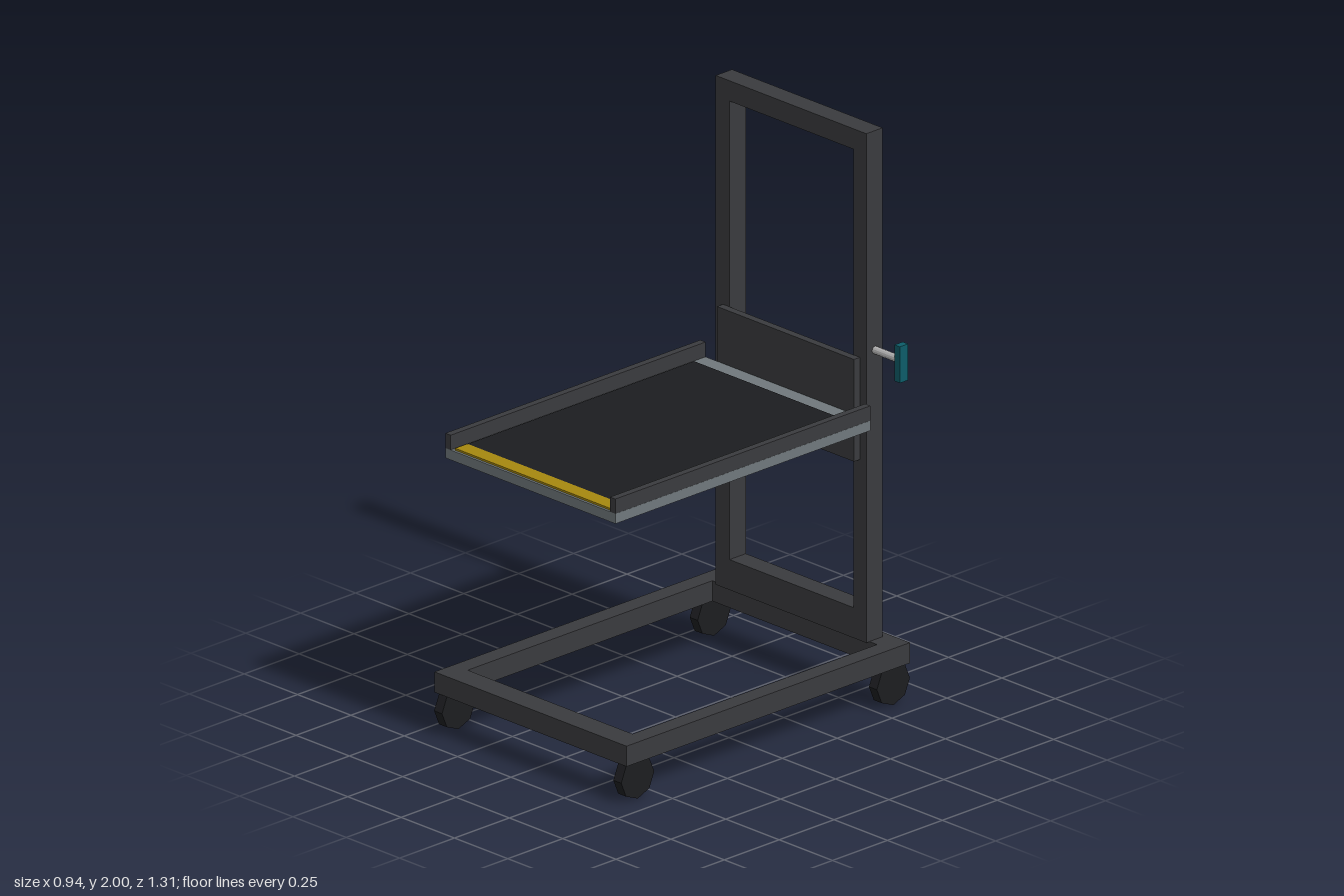
import * as THREE from 'three';

const mat = (color) => new THREE.MeshStandardMaterial({ color, flatShading: true });
const CX = -0.017; // centre line of the cart

export function createModel() {
  const group = new THREE.Group();
  const steel = mat(0x3a3b3e), trayGrey = mat(0x70787c), rubber = mat(0x1c1d20);
  const yellow = mat(0xa5870f), teal = mat(0x0d5c68), silver = mat(0xb0b0b0);

  const add = (name, geometry, material) => {
    const mesh = new THREE.Mesh(geometry, material);
    mesh.name = name;
    group.add(mesh);
    return mesh;
  };
  // box given by its minimum and maximum corners
  const box = (name, material, x0, x1, y0, y1, z0, z1) => {
    const mesh = add(name, new THREE.BoxGeometry(x1 - x0, y1 - y0, z1 - z0), material);
    mesh.position.set((x0 + x1) / 2, (y0 + y1) / 2, (z0 + z1) / 2);
    return mesh;
  };
  // rectangular frame with one rectangular opening
  const rectangle = (P, x0, x1, y0, y1) => {
    const p = new P();
    p.moveTo(x0, y0).lineTo(x1, y0).lineTo(x1, y1).lineTo(x0, y1).closePath();
    return p;
  };
  const frame = (name, outer, inner, depth) => {
    const shape = rectangle(THREE.Shape, ...outer);
    shape.holes.push(rectangle(THREE.Path, ...inner));
    return add(name, new THREE.ExtrudeGeometry(shape, { depth, bevelEnabled: false }), steel);
  };

  // base frame, laid flat (shape y becomes -z)
  const base = frame('baseFrame', [-0.466, 0.434, -0.645, 0.645], [-0.401, 0.371, -0.557, 0.557], 0.072);
  base.rotation.x = -Math.PI / 2;
  base.position.y = 0.134;

  // upright mast with cross rails at top and bottom
  const mast = frame('mast', [-0.371, 0.335, 0.205, 2], [-0.306, 0.274, 0.312, 1.928], 0.074);
  mast.position.z = -0.617;

  // sliding carriage plate on the front of the mast
  box('carriagePlate', steel, -0.337, 0.305, 0.843, 1.203, -0.543, -0.516);

  // tray with mat, warning strip and side guards
  box('tray', trayGrey, -0.414, 0.382, 0.975, 1.01, -0.516, 0.645);
  box('trayMat', rubber, -0.379, 0.347, 1.01, 1.016, -0.452, 0.58);
  box('warningStrip', yellow, -0.379, 0.347, 1.01, 1.017, 0.58, 0.636);
  for (const side of [-1, 1]) {
    const x = CX + side * 0.386;
    box('trayGuard', steel, x - 0.0125, x + 0.0125, 1.01, 1.062, -0.516, 0.645);
  }

  // locking handle on the side of the mast
  const rod = add('handleRod', new THREE.CylinderGeometry(0.013, 0.013, 0.12, 12), silver);
  rod.rotation.z = Math.PI / 2;
  rod.position.set(0.391, 1.227, -0.582);
  box('handleGrip', teal, 0.447, 0.472, 1.155, 1.283, -0.6, -0.563);

  // eight-sided wheels at the four corners
  for (const sx of [-1, 1]) {
    for (const sz of [-1, 1]) {
      const wheel = add('wheel', new THREE.CylinderGeometry(0.075, 0.075, 0.037, 8), rubber);
      wheel.rotation.z = Math.PI / 2;
      wheel.position.set(CX + sx * 0.42, 0.075, sz * 0.582);
    }
  }
  return group;
}
